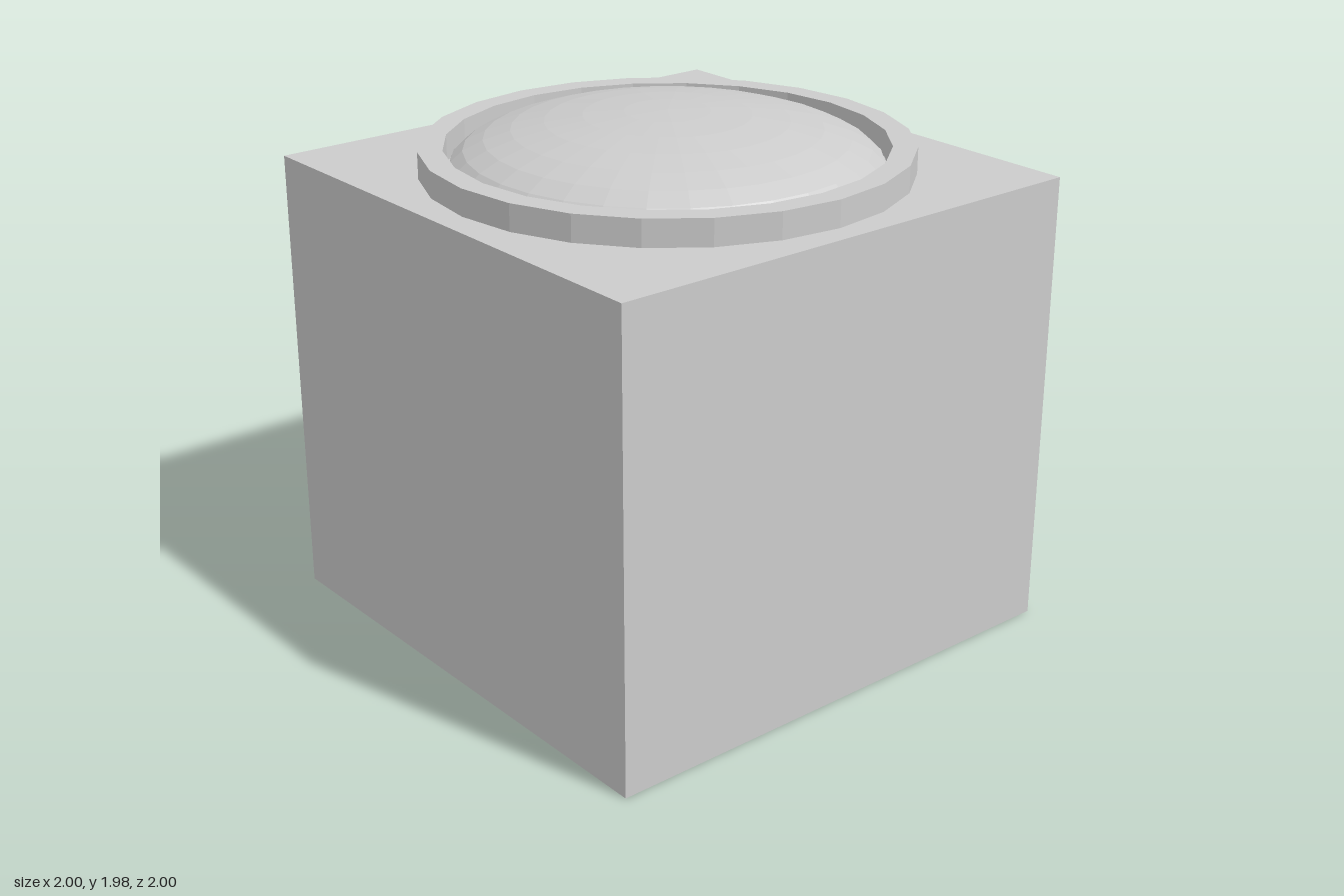
import * as THREE from 'three';

export function createModel() {
  const group = new THREE.Group();
  const material = new THREE.MeshStandardMaterial({ color: 0xcccccc, flatShading: true });
  const bodyHeight = 1.76;
  const capZ = 0.01; // ring and dome sit slightly forward of centre

  const add = (name, geometry, y, z) => {
    const mesh = new THREE.Mesh(geometry, material);
    mesh.name = name;
    mesh.position.set(0, y, z);
    group.add(mesh);
    return mesh;
  };

  // Solid block
  add('body', new THREE.BoxGeometry(2, bodyHeight, 2), bodyHeight / 2, 0);

  // Raised rim: closed rectangular section turned around y
  const outer = 0.9, inner = 0.81, rimHeight = 0.1;
  const section = [
    [outer, 0], [outer, rimHeight], [inner, rimHeight], [inner, 0], [outer, 0],
  ].map(([r, y]) => new THREE.Vector2(r, y));
  add('rim', new THREE.LatheGeometry(section, 24), bodyHeight, capZ);

  // Shallow dome inside the rim: flattened upper half of a sphere
  const dome = new THREE.SphereGeometry(0.8, 32, 8, 0, Math.PI * 2, 0, Math.PI / 2);
  dome.scale(1, 0.215 / 0.8, 1);
  add('dome', dome, bodyHeight, capZ);

  return group;
}
